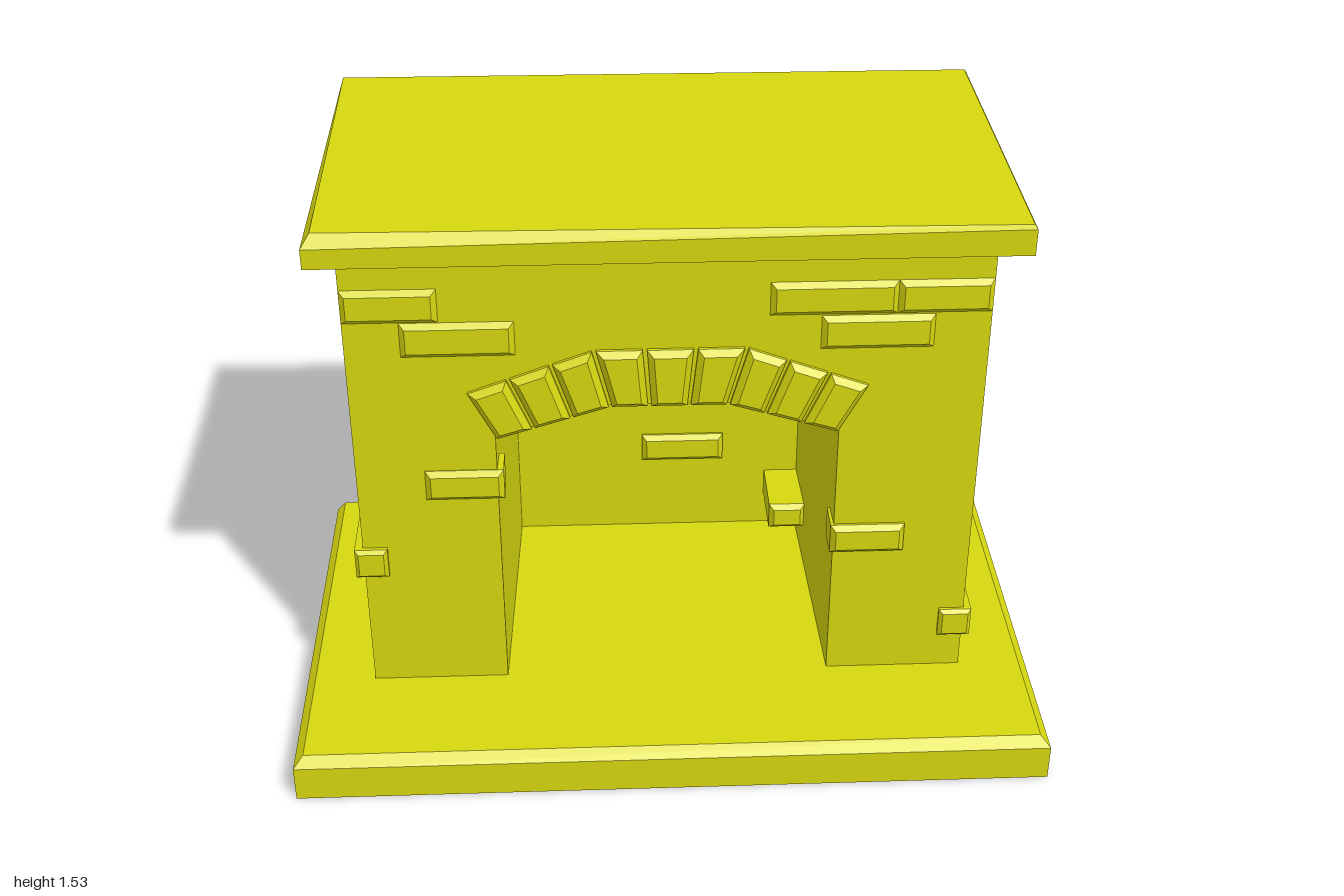
import * as THREE from 'three';

const stone = new THREE.MeshStandardMaterial({ color: 0xd6d60f, flatShading: true, side: THREE.DoubleSide });
stone.name = 'yellow stone';

// Joins rings of points (counter-clockwise seen from the end) with flat quads
function loft(rings, { skip = [], start = false, end = false } = {}) {
  const pos = [];
  const tri = (a, b, c) => pos.push(...a, ...b, ...c);
  const quad = (a, b, c, d) => { tri(a, b, c); tri(a, c, d); };
  const n = rings[0].length;
  for (let r = 0; r < rings.length - 1; r++) {
    for (let i = 0; i < n; i++) {
      if (skip.includes(i)) continue;
      const j = (i + 1) % n;
      quad(rings[r][i], rings[r][j], rings[r + 1][j], rings[r + 1][i]);
    }
  }
  // Caps are strips of quads across the ring
  const cap = (p, flip) => {
    for (let i = 0; i < n / 2 - 1; i++) {
      const q = [p[i], p[i + 1], p[n - 2 - i], p[n - 1 - i]];
      if (!flip) q.reverse();
      quad(...q);
    }
  };
  if (start) cap(rings[0], true);
  if (end) cap(rings[rings.length - 1], false);
  const g = new THREE.BufferGeometry();
  g.setAttribute('position', new THREE.Float32BufferAttribute(pos, 3));
  g.computeVertexNormals();
  return g;
}

// Moves the corners of an outline inward along both neighbouring edges
function inset(pts, d) {
  const v = pts.map((p) => new THREE.Vector2(...p));
  return v.map((p, i) => {
    const a = v[(i + 3) % 4].clone().sub(p).setLength(d);
    const b = v[(i + 1) % 4].clone().sub(p).setLength(d);
    return p.clone().add(a).add(b).toArray();
  });
}

// Four-sided block along z with a chamfered front face
function block(pts, z0, z1, bevel = 0.014) {
  const at = (p, z) => p.map(([x, y]) => [x, y, z]);
  return loft([at(pts, z0), at(pts, z1 - bevel), at(inset(pts, bevel), z1)], { start: true, end: true });
}
const rect = (x0, x1, y0, y1) => [[x0, y0], [x1, y0], [x1, y1], [x0, y1]];

export function createModel() {
  const model = new THREE.Group();
  model.name = 'fireplace';
  const add = (name, geometry, parent = model) => {
    const m = new THREE.Mesh(geometry, stone);
    m.name = name;
    parent.add(m);
    return m;
  };
  const group = (name) => {
    const g = new THREE.Group();
    g.name = name;
    model.add(g);
    return g;
  };
  // Horizontal ring: front left, front right, back right, back left
  const ring = (x0, x1, zBack, zFront, yFront, yBack = yFront) =>
    [[x0, yFront, zFront], [x1, yFront, zFront], [x1, yBack, zBack], [x0, yBack, zBack]];

  // Hearth slab and mantel shelf, both open at the back
  add('hearth', loft([
    ring(-1, 1, -0.605, 0.605, 0),
    ring(-1, 1, -0.605, 0.605, 0.1),
    ring(-0.975, 0.975, -0.605, 0.578, 0.125),
  ], { skip: [2], start: true, end: true }));
  add('mantel', loft([
    ring(-0.872, 0.868, -0.605, 0.388, 1.453, 1.46),
    [[-0.872, 1.505, 0.388], [0.868, 1.522, 0.388], [0.868, 1.522, -0.605], [-0.872, 1.505, -0.605]],
    [[-0.85, 1.535, 0.36], [0.862, 1.53, 0.376], [0.862, 1.53, -0.605], [-0.862, 1.535, -0.605]],
  ], { skip: [2], start: true, end: true }));

  // Chimney breast: two side walls and a front wall with an arched opening
  const F = 0.267;
  add('sideWalls', loft([
    ring(-0.81, 0.806, -0.605, F, 0.125), ring(-0.81, 0.806, -0.605, F, 1.453),
  ], { skip: [0, 2] }));
  const arch = [[-0.445, 0.125], [-0.445, 0.6], [-0.445, 0.9], [-0.15, 0.99],
    [0.15, 0.99], [0.437, 0.9], [0.437, 0.6], [0.437, 0.125]];
  const front = new THREE.Shape([[-0.81, 0.125], ...arch, [0.806, 0.125], [0.806, 1.453], [-0.81, 1.453]]
    .map((p) => new THREE.Vector2(...p)));
  add('frontWall', new THREE.ShapeGeometry(front).translate(0, 0, F));

  // Firebox narrowing and rising towards the back
  const rear = [[-0.42, 0.125, -0.45], [-0.42, 0.97, -0.45], [-0.42, 1.32, -0.43], [-0.15, 1.41, -0.425],
    [0.15, 1.41, -0.425], [0.418, 1.32, -0.43], [0.418, 0.97, -0.45], [0.418, 0.125, -0.45]];
  add('firebox', loft([arch.map(([x, y]) => [x, y, F]), rear], { skip: [7], end: true }));

  // Arch stones, three on each straight run
  const stones = group('archStones');
  const inner = [[-0.445, 0.9], [-0.15, 0.99], [0.15, 0.99], [0.437, 0.9]];
  const outer = [[-0.515, 1.035], [-0.19, 1.152], [0.195, 1.152], [0.51, 1.035]];
  const mix = (a, b, t) => [a[0] + (b[0] - a[0]) * t, a[1] + (b[1] - a[1]) * t];
  for (let run = 0; run < 3; run++) {
    for (let k = 0; k < 3; k++) {
      const t0 = k / 3 + 0.015, t1 = (k + 1) / 3 - 0.015;
      const pts = [mix(inner[run], inner[run + 1], t0), mix(inner[run], inner[run + 1], t1),
        mix(outer[run], outer[run + 1], t1), mix(outer[run], outer[run + 1], t0)];
      add('archStone', block(pts, F - 0.01, 0.292, 0.016), stones);
    }
  }

  // Bricks standing out of the front wall
  const frontBricks = group('frontBricks');
  [[-0.81, -0.572, 1.24, 1.332], [-0.67, -0.385, 1.142, 1.238], [0.25, 0.568, 1.24, 1.332],
    [0.568, 0.806, 1.24, 1.332], [0.38, 0.665, 1.142, 1.236],
  ].forEach((b) => add('frontBrick', block(rect(...b), F - 0.008, 0.281), frontBricks));
  // These two wrap round the edge of the opening
  add('jambBrick', block(rect(-0.632, -0.428, 0.715, 0.803), 0.19, 0.283), frontBricks);
  add('jambBrick', block(rect(0.428, 0.625, 0.52, 0.606), 0.19, 0.288), frontBricks);

  // Bricks on the rear wall of the firebox
  const inside = group('fireboxBricks');
  [[-0.42, -0.183, 0.803, 0.889], [-0.05, 0.192, 0.363, 0.45]]
    .forEach((b) => add('fireboxBrick', block(rect(...b), -0.456, -0.43), inside));
  add('fireboxCornerBrick', block(rect(0.32, 0.426, 0.232, 0.312), -0.458, -0.25), inside);

  // Side bricks, mirrored, and one brick wrapping each front corner
  const sideBricks = group('sideBricks');
  for (const s of [1, -1]) {
    for (const [z0, z1, y0, y1] of [[-0.05, 0.163, 0.902, 0.99], [-0.23, 0.018, 0.805, 0.9]]) {
      const pts = s > 0 ? rect(-z1, -z0, y0, y1) : rect(z0, z1, y0, y1);
      add('sideBrick', block(pts, 0.8, 0.823, 0.01).rotateY(s * Math.PI / 2), sideBricks);
    }
  }
  add('cornerBrick', block(rect(0.738, 0.827, 0.232, 0.318), 0.078, 0.285, 0.01), sideBricks);
  add('cornerBrick', block(rect(-0.832, -0.745, 0.478, 0.565), 0.085, 0.288, 0.01), sideBricks);

  return model;
}
